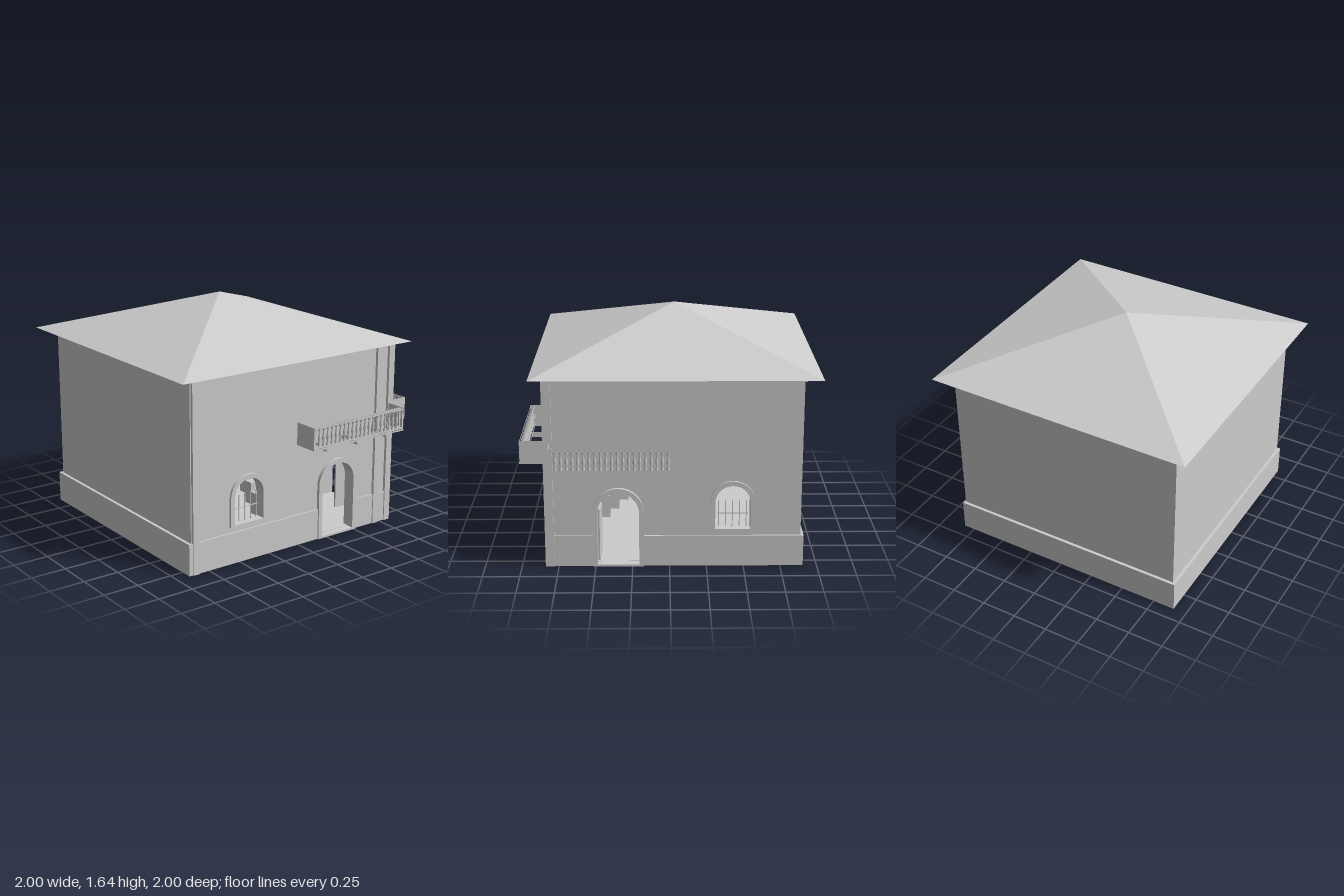
import * as THREE from 'three';

const plaster = new THREE.MeshStandardMaterial({ color: 0xcccccc });
plaster.name = 'greyPlaster';
const thinPlaster = plaster.clone();
thinPlaster.name = 'greyPlasterThin';
thinPlaster.side = THREE.DoubleSide;

function add(parent, name, geometry, material = plaster) {
  const mesh = new THREE.Mesh(geometry, material);
  mesh.name = name;
  parent.add(mesh);
  return mesh;
}

// Box given by its limits on each axis
function box(parent, name, x0, x1, y0, y1, z0, z1) {
  const mesh = add(parent, name, new THREE.BoxGeometry(Math.abs(x1 - x0), y1 - y0, z1 - z0));
  mesh.position.set((x0 + x1) / 2, (y0 + y1) / 2, (z0 + z1) / 2);
  return mesh;
}

// Round-headed outline, springing at height yc
function arch(path, c, r, y0, yc) {
  path.moveTo(c - r, y0);
  path.lineTo(c + r, y0);
  path.lineTo(c + r, yc);
  path.absarc(c, yc, r, 0, Math.PI, false);
  path.lineTo(c - r, y0);
  return path;
}

function rect(path, x0, x1, y0, y1) {
  path.moveTo(x0, y0);
  path.lineTo(x1, y0);
  path.lineTo(x1, y1);
  path.lineTo(x0, y1);
  path.closePath();
  return path;
}

function extrude(parent, name, shape, z0, z1) {
  const geometry = new THREE.ExtrudeGeometry(shape, { depth: z1 - z0, bevelEnabled: false, curveSegments: 10 });
  geometry.translate(0, 0, z0);
  return add(parent, name, geometry);
}

// Balcony: balustrade frames, end panels and carrying beams
function balcony(s) {
  const group = new THREE.Group();
  group.name = 'balcony';
  const u0 = -0.013, u1 = 0.795;
  const lo = Math.min(s * u0, s * u1), hi = Math.max(s * u0, s * u1);
  for (const z of [0.965, 0.995]) {
    const frame = rect(new THREE.Shape(), lo, hi, 0.735, 0.885);
    frame.holes.push(rect(new THREE.Path(), lo + 0.012, hi - 0.012, 0.75, 0.872));
    add(group, 'balustradeFrame', new THREE.ShapeGeometry(frame), thinPlaster).position.z = z;
  }
  const trim = add(group, 'balconyTrim', new THREE.PlaneGeometry(hi - lo, 0.012), thinPlaster);
  trim.position.set((lo + hi) / 2, 0.729, 1);
  for (const x of [lo, hi]) {
    const panel = add(group, 'balconyEndPanel', new THREE.PlaneGeometry(0.18, 0.16), thinPlaster);
    panel.rotation.y = Math.PI / 2;
    panel.position.set(x, 0.805, 0.908);
  }
  const profile = [[0.01, 0.74], [0.01, 0.757], [0.005, 0.772], [0.011, 0.795], [0.008, 0.82],
    [0.004, 0.845], [0.01, 0.86], [0.01, 0.88]].map(([r, y]) => new THREE.Vector2(r, y));
  const baluster = new THREE.LatheGeometry(profile, 8);
  for (let i = 0; i < 21; i++) {
    add(group, 'baluster', baluster, thinPlaster).position.set(s * (0.01 + i * 0.0368), 0, 0.98);
  }
  // Beams, open above and below
  for (const u of [0.125, 0.395, 0.665]) {
    for (const side of [-1, 1]) {
      const cheek = add(group, 'balconyBeamSide', new THREE.PlaneGeometry(0.157, 0.028), thinPlaster);
      cheek.rotation.y = Math.PI / 2;
      cheek.position.set(s * u + side * 0.011, 0.706, 0.8985);
    }
    const end = add(group, 'balconyBeamEnd', new THREE.PlaneGeometry(0.022, 0.028), thinPlaster);
    end.position.set(s * u, 0.706, 0.977);
  }
  return group;
}

// One decorated wall; s mirrors its layout along the wall
function facade(s, end) {
  const group = new THREE.Group();
  const door = s * 0.345, win = s * -0.425;
  const lo = Math.min(s * -0.885, s * end), hi = Math.max(s * -0.885, s * end);

  const wall = rect(new THREE.Shape(), lo, hi, 0, 1.32);
  wall.holes.push(arch(new THREE.Path(), door, 0.14, 0.015, 0.39));
  wall.holes.push(arch(new THREE.Path(), win, 0.118, 0.27, 0.46));
  extrude(group, 'wall', wall, 0.75, 0.82);
  box(group, 'plinth', s * -0.9, s * 0.175, 0, 0.22, 0.8, 0.832);
  box(group, 'plinth', s * 0.515, s * 0.832, 0, 0.22, 0.8, 0.832);

  // Arched surrounds
  const doorFrame = arch(new THREE.Shape(), door, 0.172, 0, 0.39);
  doorFrame.holes.push(arch(new THREE.Path(), door, 0.14, 0.015, 0.39));
  extrude(group, 'doorSurround', doorFrame, 0.8, 0.842);
  const windowFrame = arch(new THREE.Shape(), win, 0.15, 0.262, 0.46);
  windowFrame.holes.push(arch(new THREE.Path(), win, 0.118, 0.27, 0.46));
  extrude(group, 'windowSurround', windowFrame, 0.8, 0.836);

  // Door leaf standing open inwards
  const leaf = box(group, 'doorLeaf', door - 0.136, door - 0.122, 0.02, 0.39, 0.64, 0.78);
  leaf.rotation.y = -0.08;

  // Window grille
  for (let i = -2; i <= 2; i++) {
    const x = win + i * 0.047;
    box(group, 'windowBar', x - 0.003, x + 0.003, 0.27, 0.457, 0.782, 0.788);
  }
  box(group, 'windowCrossBar', win - 0.105, win + 0.105, 0.362, 0.368, 0.782, 0.788);
  group.add(balcony(s));
  return group;
}

export function createModel() {
  const model = new THREE.Group();
  model.name = 'house';

  // Decorated front and right walls
  const front = facade(1, 0.82);
  front.name = 'frontFacade';
  const right = facade(-1, 0.76);
  right.name = 'rightFacade';
  right.rotation.y = Math.PI / 2;
  model.add(front, right);

  // Plain left and back walls with their plinths
  box(model, 'leftWall', -0.885, -0.815, 0, 1.32, -0.885, 0.76);
  box(model, 'backWall', -0.82, 0.76, 0, 1.32, -0.885, -0.815);
  box(model, 'leftPlinth', -0.906, -0.86, 0, 0.22, -0.906, 0.832);
  box(model, 'backPlinth', -0.87, 0.832, 0, 0.22, -0.906, -0.86);

  // Pilasters
  box(model, 'leftPilaster', -0.878, -0.83, 0, 1.3, 0.8, 0.84);
  box(model, 'innerPilaster', 0.68, 0.732, 0, 1.3, 0.8, 0.84);
  box(model, 'cornerPilaster', 0.79, 0.84, 0, 1.3, 0.778, 0.84);

  // Floor, and the moulding under the eaves
  box(model, 'floor', -0.85, 0.79, 0.01, 0.018, -0.85, 0.79);
  box(model, 'eavesMoulding', -0.897, 0.838, 1.3, 1.33, -0.897, 0.838);

  // Stair climbing towards the back
  for (let i = 0; i < 11; i++) {
    const z = 0.685 - i * 0.066, top = 0.088 + i * 0.066;
    box(model, 'stairStep', -0.1, 0.265, Math.max(0.018, top - 0.16), top, z - 0.066, z);
  }

  // Pyramid roof
  const roofShape = new THREE.ConeGeometry(0.96 * Math.SQRT2, 0.31, 4, 1).toNonIndexed();
  roofShape.rotateY(Math.PI / 4);
  roofShape.computeVertexNormals();
  add(model, 'roof', roofShape).position.set(-0.04, 1.485, -0.04);

  return model;
}
